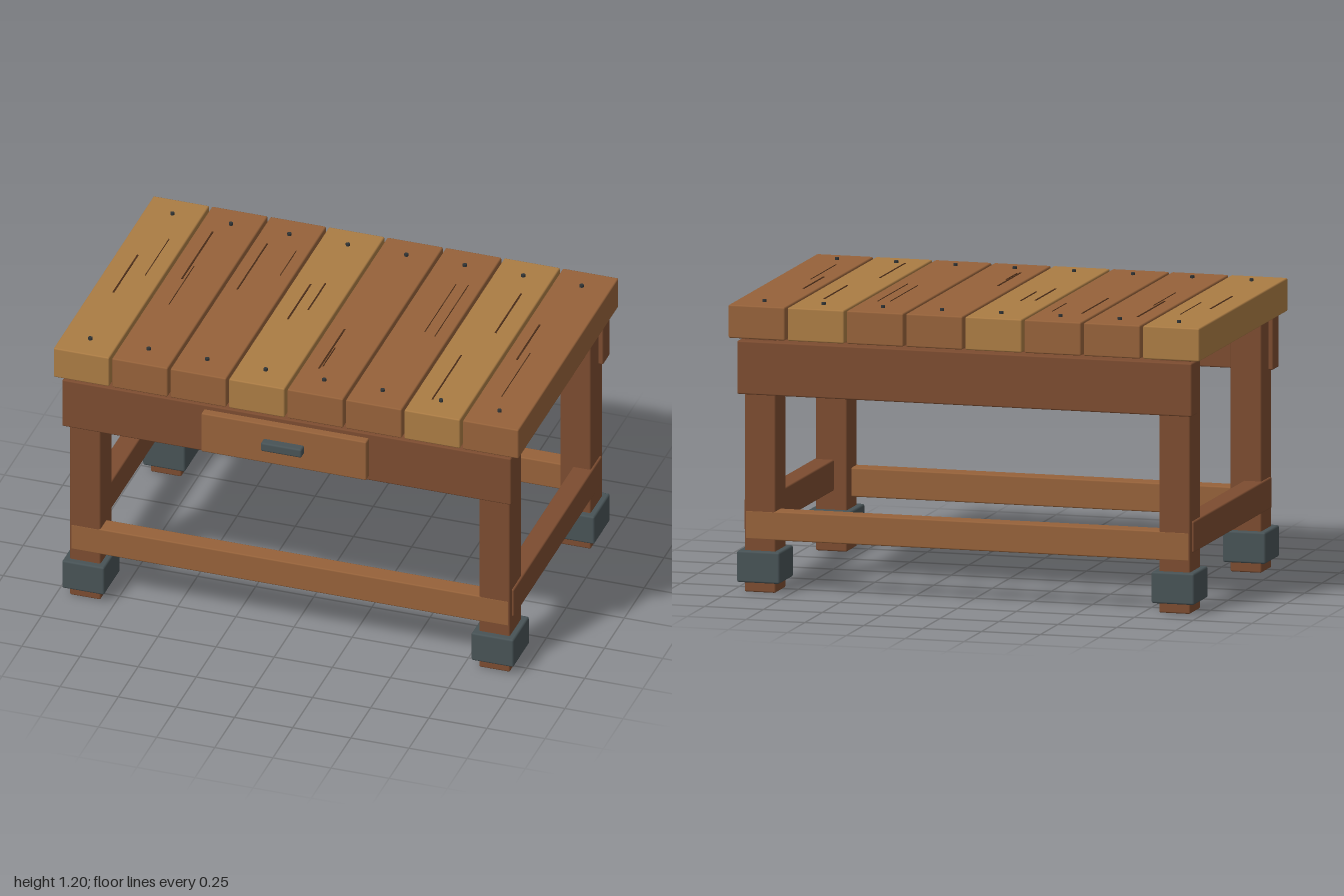
import * as THREE from 'three';
import { RoundedBoxGeometry } from 'three/addons/geometries/RoundedBoxGeometry.js';

const mat = (color) => new THREE.MeshStandardMaterial({ color });

export function createModel() {
  const model = new THREE.Group();
  model.name = 'workTable';
  const wood = mat(0x96623a), paleWood = mat(0xab7c44), darkWood = mat(0x7c4c30);
  const iron = mat(0x485356), nailIron = mat(0x303436), grainDark = mat(0x4a2c18);
  const ZC = -0.03; // the table body sits slightly behind centre, the handle sticks out in front

  // Softly bevelled box given by its extents
  function box(name, [x0, x1], [y0, y1], [z0, z1], material, bevel = 0.006) {
    const geometry = new RoundedBoxGeometry(x1 - x0, y1 - y0, z1 - z0, 1, bevel);
    const mesh = new THREE.Mesh(geometry, material);
    mesh.position.set((x0 + x1) / 2, (y0 + y1) / 2, (z0 + z1) / 2);
    mesh.name = name;
    model.add(mesh);
    return mesh;
  }
  const around = (c, size) => [c - size / 2, c + size / 2];

  // Table top: eight planks, each held by two nails
  const top = 1.19;
  const nailGeometry = new THREE.CylinderGeometry(0.009, 0.009, 0.02, 8);
  for (let i = 0; i < 8; i++) {
    const x = -0.88 + i * (1.76 / 7);
    box('plank', around(x, 0.24), [1.053, top], around(ZC, 1.265), i % 3 === 0 ? paleWood : wood);
    for (const s of [-1, 1]) {
      const nail = new THREE.Mesh(nailGeometry, nailIron);
      nail.position.set(x, top, ZC + s * 0.518);
      nail.name = 'nail';
      model.add(nail);
    }
  }

  // Wood grain: thin strips on the planks as [x, z start, z end, width]
  const grain = [
    [-0.91, -0.2, 0.11, 0.007], [-0.83, -0.36, -0.06, 0.003],
    [-0.68, -0.47, -0.08, 0.007], [-0.665, -0.19, 0.125, 0.003],
    [-0.44, -0.455, -0.075, 0.006], [-0.31, -0.44, -0.235, 0.003],
    [-0.17, -0.21, 0.08, 0.007], [-0.115, -0.235, -0.015, 0.006],
    [0.075, 0.08, 0.405, 0.007], [0.085, 0.23, 0.385, 0.004],
    [0.39, -0.4, -0.005, 0.003], [0.44, -0.41, 0.015, 0.003],
    [0.665, -0.415, -0.09, 0.007], [0.59, 0.12, 0.485, 0.006],
    [0.815, -0.21, 0.08, 0.007], [0.85, 0.015, 0.375, 0.003],
  ];
  for (const [x, z0, z1, w] of grain) {
    const strip = new THREE.Mesh(new THREE.BoxGeometry(w, 0.004, z1 - z0), grainDark);
    strip.position.set(x, top, (z0 + z1) / 2);
    strip.name = 'grain';
    model.add(strip);
  }

  // Legs with iron shoes
  for (const sx of [-1, 1]) for (const sz of [-1, 1]) {
    const x = sx * 0.88, z = ZC + sz * 0.51;
    box('leg', around(x, 0.132), [0, 1.055], around(z, 0.147), darkWood);
    box('legShoe', around(x, 0.182), [0.042, 0.172], around(z, 0.202), iron, 0.008);
  }

  // Front and back: apron, cleat under the planks, low stretcher
  for (const s of [-1, 1]) {
    box(s > 0 ? 'frontApron' : 'backApron', [-0.965, 0.965], [0.822, 1.042], around(ZC + s * 0.582, 0.087), darkWood);
    box('cleat', [-0.945, 0.945], [0.99, 1.054], around(ZC + s * 0.515, 0.06), darkWood);
    box(s > 0 ? 'frontStretcher' : 'backStretcher', [-0.943, 0.943], [0.217, 0.337], around(ZC + s * 0.544, 0.081), wood);
  }

  // Side stretchers
  for (const s of [-1, 1]) {
    box('sideStretcher', around(s * 0.912, 0.086), [0.25, 0.378], around(ZC, 1.115), darkWood);
  }

  // Drawer front and its handle
  box('drawerFront', [-0.355, 0.355], [0.84, 1.022], [0.57, 0.63], wood);
  box('drawerHandle', [-0.088, 0.088], [0.914, 0.954], [0.62, 0.666], iron, 0.008);

  return model;
}
